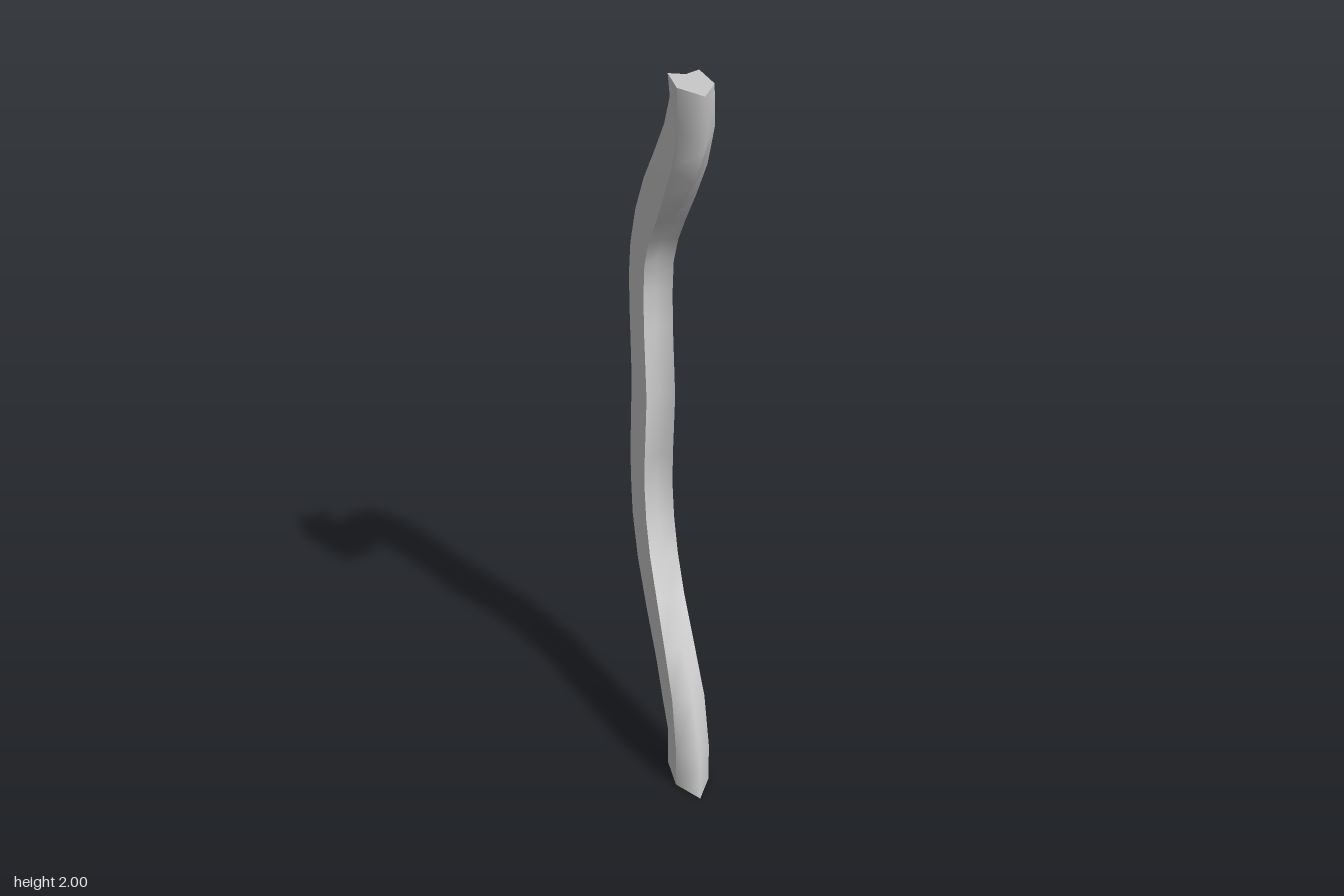
import * as THREE from 'three';

// Stations from bottom to top: front z, y | back z, y | front ridge depth, back ridge depth.
// A positive depth is a raised ridge, a negative one a shallow groove.
const STATIONS = [
  [0.285, 0, 0.11, 0, 0.075, -0.02],
  [0.287, 0.11, 0.11, 0.11, 0.075, -0.02],
  [0.215, 0.27, 0.055, 0.18, 0.05, -0.015],
  [0.11, 0.365, 0, 0.26, 0.025, 0.0],
  [0, 0.46, -0.1, 0.35, 0, 0.025],
  [-0.06, 0.55, -0.2, 0.46, -0.01, 0.045],
  [-0.095, 0.64, -0.262, 0.58, -0.02, 0.06],
  [-0.11, 0.73, -0.285, 0.71, -0.02, 0.065],
  [-0.107, 0.82, -0.28, 0.81, -0.02, 0.06],
  [-0.086, 1.01, -0.255, 1.01, -0.02, 0.045],
  [-0.107, 1.2, -0.275, 1.2, -0.02, 0.055],
  [-0.11, 1.3, -0.282, 1.31, -0.02, 0.06],
  [-0.1, 1.39, -0.265, 1.41, -0.02, 0.06],
  [-0.06, 1.47, -0.205, 1.54, -0.01, 0.05],
  [0, 1.55, -0.11, 1.65, 0, 0.025],
  [0.1, 1.64, 0, 1.75, 0.025, 0],
  [0.2, 1.74, 0.08, 1.85, 0.05, -0.015],
  [0.283, 1.86, 0.128, 1.94, 0.075, -0.02],
  [0.285, 2, 0.11, 1.99, 0.075, -0.02],
];

// Six-cornered section, running round from the front at -x
function section([fz, fy, bz, by, frontDepth, backDepth]) {
  const front = new THREE.Vector2(fz, fy);
  const back = new THREE.Vector2(bz, by);
  const across = back.clone().sub(front).normalize();
  const point = (x, base, dir, inset) =>
    [x, base.y + across.y * dir * inset, base.x + across.x * dir * inset];
  const half = (d) => 0.038 + 0.007 * THREE.MathUtils.clamp(d / 0.06, 0, 1);
  const edge = (base, dir, depth) => [
    point(-half(depth), base, dir, Math.max(depth, 0)),
    point(0, base, dir, Math.max(-depth, 0)),
    point(half(depth), base, dir, Math.max(depth, 0)),
  ];
  return [...edge(front, 1, frontDepth), ...edge(back, -1, backDepth).reverse()];
}

function surface(points, index) {
  const geometry = new THREE.BufferGeometry();
  geometry.setAttribute('position', new THREE.Float32BufferAttribute(points.flat(), 3));
  geometry.setIndex(index);
  geometry.computeVertexNormals();
  return geometry;
}

// Smooth strip of the chosen corners along all sections
function strip(rings, corners) {
  const n = corners.length;
  const points = rings.flatMap((ring) => corners.map((c) => ring[c]));
  const index = [];
  for (let i = 0; i < rings.length - 1; i++) {
    for (let j = 0; j < n - 1; j++) {
      const a = i * n + j;
      index.push(a, a + 1, a + n + 1, a, a + n + 1, a + n);
    }
  }
  return surface(points, index);
}

export function createModel() {
  const group = new THREE.Group();
  group.name = 'curvedBar';
  const material = new THREE.MeshStandardMaterial({ color: 0xcccccc });
  const add = (name, geometry) => {
    const mesh = new THREE.Mesh(geometry, material);
    mesh.name = name;
    group.add(mesh);
  };
  const rings = STATIONS.map(section);

  // Long faces, smooth along the bend and sharp where they meet
  add('frontFace', strip(rings, [0, 1, 2]));
  add('leftSide', strip(rings, [2, 3]));
  add('backFace', strip(rings, [3, 4, 5]));
  add('rightSide', strip(rings, [5, 0]));

  // End caps
  const cap = [0, 1, 4, 1, 2, 4, 2, 3, 4, 0, 4, 5];
  add('topEnd', surface(rings[rings.length - 1], cap));
  add('bottomEnd', surface(rings[0], [...cap].reverse()));
  return group;
}
